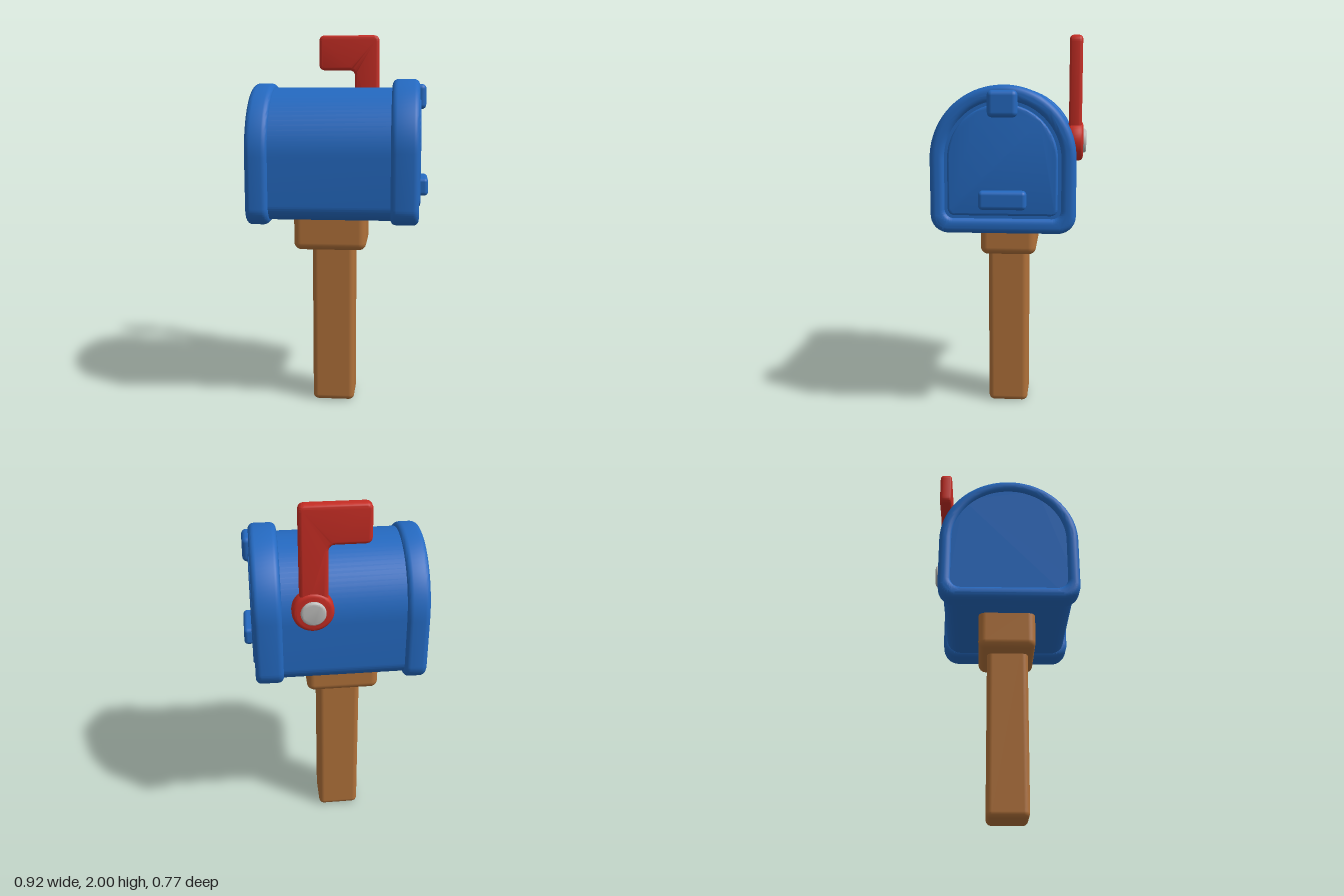
import * as THREE from 'three';
import { toCreasedNormals } from 'three/addons/utils/BufferGeometryUtils.js';
import { RoundedBoxGeometry } from 'three/addons/geometries/RoundedBoxGeometry.js';

const material = (name, color) => {
  const m = new THREE.MeshStandardMaterial({ color });
  m.name = name;
  return m;
};

// Arched outline: round top, straight sides, rounded bottom corners
function arch(Type, halfWidth, bottom, top, corner) {
  const s = new Type();
  const w = halfWidth, centre = top - w;
  s.moveTo(-w + corner, bottom);
  s.lineTo(w - corner, bottom);
  s.absarc(w - corner, bottom + corner, corner, -Math.PI / 2, 0, false);
  s.absarc(0, centre, w, 0, Math.PI, false);
  s.absarc(-w + corner, bottom + corner, corner, Math.PI, Math.PI * 1.5, false);
  return s;
}

// Rounded polygon from corner points
function roundedPolygon(points, r) {
  const s = new THREE.Shape();
  const p = points.map(([x, y]) => new THREE.Vector2(x, y));
  p.forEach((c, i) => {
    const prev = p[(i + p.length - 1) % p.length], next = p[(i + 1) % p.length];
    const a = prev.clone().sub(c).setLength(r).add(c);
    const b = next.clone().sub(c).setLength(r).add(c);
    if (i) s.lineTo(a.x, a.y); else s.moveTo(a.x, a.y);
    s.quadraticCurveTo(c.x, c.y, b.x, b.y);
  });
  s.closePath();
  return s;
}

// Extrusion between two depths whose bevel stays inside the outline
function extrude(shape, from, to, bevel) {
  const g = new THREE.ExtrudeGeometry(shape, {
    depth: to - from - 2 * bevel, curveSegments: 20, bevelEnabled: bevel > 0,
    bevelThickness: bevel, bevelSize: bevel, bevelOffset: -bevel, bevelSegments: 5,
  });
  g.translate(0, 0, from + bevel);
  return toCreasedNormals(g, 0.6);
}

export function createModel() {
  const model = new THREE.Group();
  model.name = 'mailbox';
  const blue = material('blue', 0x2469c0);
  const red = material('red', 0xc62d24);
  const wood = material('wood', 0xb0713a);
  const grey = material('grey', 0xbcbcba);
  const add = (name, geometry, mat, parent = model) => {
    const mesh = new THREE.Mesh(geometry, mat);
    mesh.name = name;
    parent.add(mesh);
    return mesh;
  };
  // Rounded block given by its limits on each axis
  const block = (name, [x0, x1], [y0, y1], [z0, z1], r, mat) => {
    const mesh = add(name, new RoundedBoxGeometry(x1 - x0, y1 - y0, z1 - z0, 4, r), mat);
    mesh.position.set((x0 + x1) / 2, (y0 + y1) / 2, (z0 + z1) / 2);
  };

  // Wooden post and collar
  block('post', [-0.15, 0.076], [0, 0.95], [-0.086, 0.129], 0.03, wood);
  block('collar', [-0.246, 0.14], [0.855, 1.1], [-0.132, 0.166], 0.04, wood);

  // Box, with its door facing +x
  const box = new THREE.Group();
  box.name = 'box';
  box.rotation.y = Math.PI / 2;
  box.position.z = 0.022;
  model.add(box);
  add('body', extrude(arch(THREE.Shape, 0.339, 1.045, 1.71, 0.08), -0.445, 0.397, 0), blue, box);

  const frontRim = arch(THREE.Shape, 0.362, 1.025, 1.755, 0.09);
  frontRim.holes.push(arch(THREE.Path, 0.285, 1.105, 1.678, 0.04));
  add('frontRim', extrude(frontRim, 0.27, 0.413, 0.03), blue, box);

  const backRim = arch(THREE.Shape, 0.361, 1.02, 1.732, 0.09);
  backRim.holes.push(arch(THREE.Path, 0.295, 1.09, 1.666, 0.05));
  add('backRim', extrude(backRim, -0.462, -0.345, 0.03), blue, box);

  add('door', extrude(arch(THREE.Shape, 0.272, 1.118, 1.665, 0.035), 0.36, 0.42, 0.012), blue, box);

  // Door latch and handle
  block('latch', [0.37, 0.446], [1.6, 1.73], [-0.053, 0.095], 0.025, blue);
  block('handle', [0.39, 0.462], [1.152, 1.245], [-0.097, 0.138], 0.02, blue);

  // Signal flag on the -z side
  const flag = roundedPolygon([
    [0.048, 1.42], [0.186, 1.42], [0.186, 2], [-0.156, 2], [-0.156, 1.805], [0.048, 1.805],
  ], 0.035);
  add('flag', extrude(flag, -0.366, -0.3, 0.018), red);

  // Flag pivot and its button
  const disc = (name, r, from, to, bevel, mat) => {
    const s = new THREE.Shape().absarc(0.122, 1.468, r, 0, Math.PI * 2, false);
    add(name, extrude(s, from, to, bevel), mat);
  };
  disc('flagPivot', 0.103, -0.374, -0.296, 0.022, red);
  disc('pivotButton', 0.062, -0.39, -0.34, 0.012, grey);

  return model;
}
